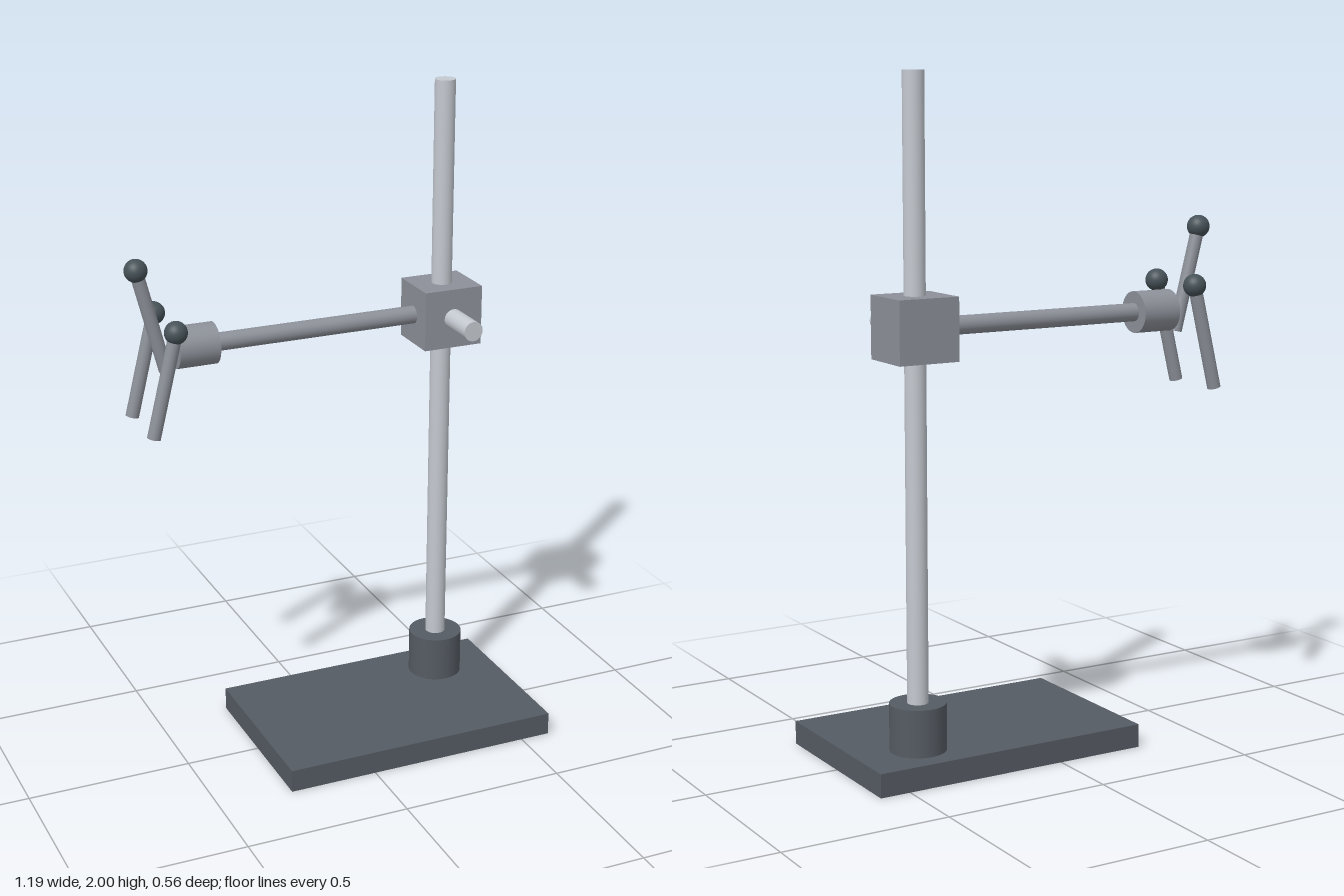
import * as THREE from 'three';

const mat = (color) => new THREE.MeshStandardMaterial({ color });

export function createModel() {
  const group = new THREE.Group();
  const dark = mat(0x555b63), steel = mat(0xc4c9d0), grey = mat(0x8c9098), tip = mat(0x465258);
  const X = 0.4, Z = -0.14, Y = 1.29; // column axis and arm height

  const add = (name, geometry, material, x, y, z, parent = group) => {
    const mesh = new THREE.Mesh(geometry, material);
    mesh.name = name;
    mesh.position.set(x, y, z);
    parent.add(mesh);
    return mesh;
  };
  const rod = (radius, length) => new THREE.CylinderGeometry(radius, radius, length, 32);

  // Base plate, socket and column
  add('basePlate', new THREE.BoxGeometry(0.865, 0.07, 0.555), dark, 0.16, 0.035, 0);
  add('columnSocket', rod(0.083, 0.14), dark, X, 0.14, Z);
  add('column', rod(0.031, 1.93), steel, X, 1.035, Z);

  // Clamp block with its locking screw
  add('clampBlock', new THREE.BoxGeometry(0.187, 0.182, 0.171), grey, X, Y, Z);
  add('clampScrew', rod(0.03, 0.195).rotateX(Math.PI / 2), steel, X, Y, -0.02);

  // Horizontal arm and its end boss
  add('arm', rod(0.027, 0.72).rotateZ(Math.PI / 2), grey, 0, Y, Z);
  add('armBoss', rod(0.062, 0.124).rotateZ(Math.PI / 2), grey, -0.397, Y, Z);

  // Three gripping fingers, each a slanted rod with a ball on top
  const addFinger = (name, top, bottom, z) => {
    const finger = new THREE.Group();
    finger.name = name;
    const a = new THREE.Vector3(...top, z), b = new THREE.Vector3(...bottom, z);
    const mid = a.clone().add(b).multiplyScalar(0.5);
    const shaft = add('fingerRod', rod(0.02, a.distanceTo(b)), grey, mid.x, mid.y, z, finger);
    shaft.quaternion.setFromUnitVectors(new THREE.Vector3(0, 1, 0), a.clone().sub(b).normalize());
    add('fingerTip', new THREE.SphereGeometry(0.034, 32, 20), tip, a.x, a.y, z, finger);
    group.add(finger);
  };
  addFinger('upperFinger', [-0.565, 1.535], [-0.485, 1.225], Z);
  for (const side of [-1, 1]) {
    addFinger(side < 0 ? 'backFinger' : 'frontFinger', [-0.484, 1.37], [-0.56, 1.06], Z + side * 0.098);
  }
  return group;
}
